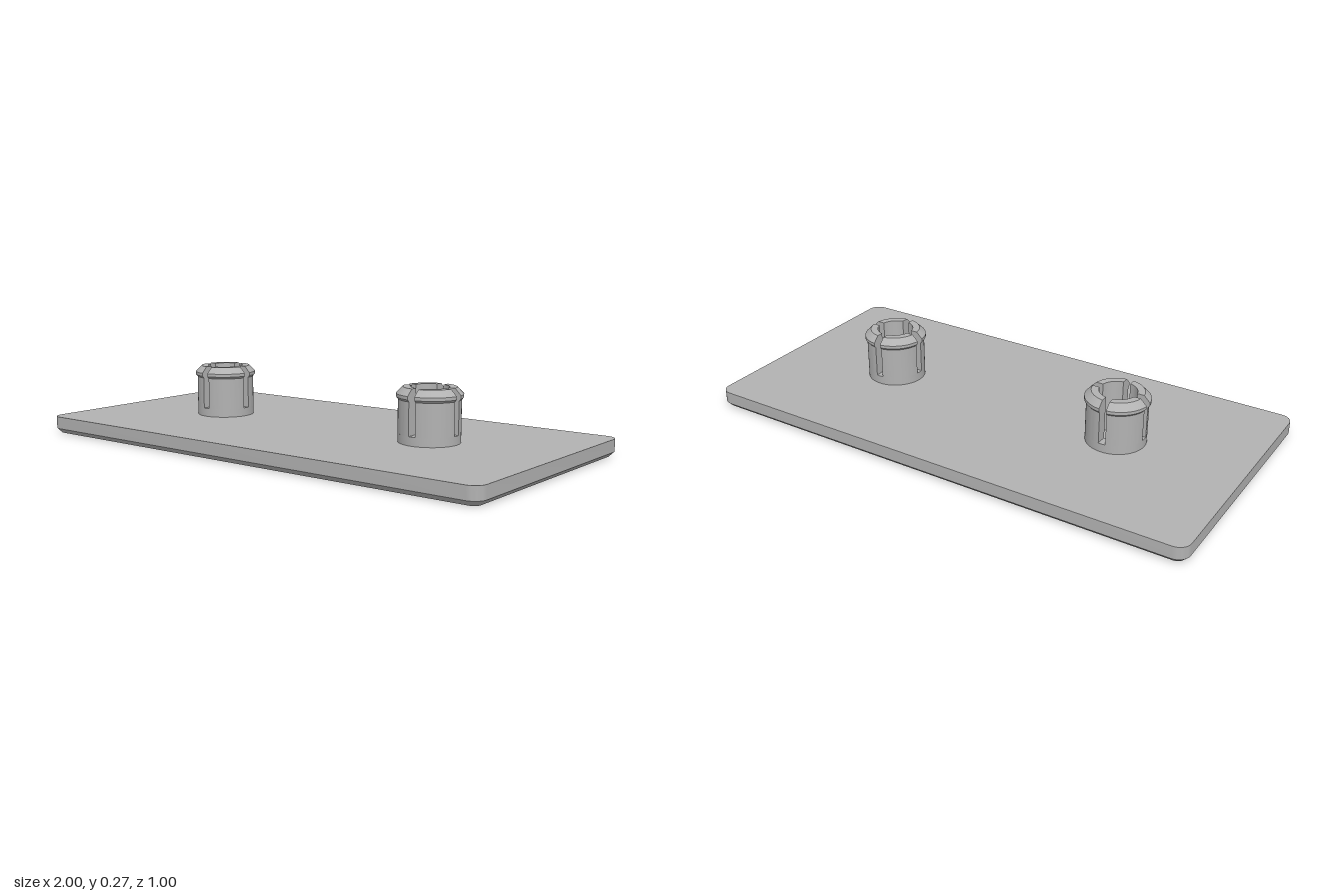
import * as THREE from 'three';
import { mergeGeometries, toCreasedNormals } from 'three/addons/utils/BufferGeometryUtils.js';

const PLATE_TOP = 0.067, SLOT_FLOOR = 0.1, SLOT_HALF = 0.0138;
const BORE = 0.07, PEG = 0.1137;

// Outline of a rounded rectangle, shrunk evenly by inset
function outline(inset, y) {
  const radius = 0.047, steps = 8, points = [];
  for (let corner = 0; corner < 4; corner++) {
    const sx = corner === 0 || corner === 3 ? 1 : -1;
    const sz = corner < 2 ? 1 : -1;
    for (let i = 0; i <= steps; i++) {
      const a = (corner + i / steps) * Math.PI / 2;
      points.push([
        sx * (1 - radius) + Math.cos(a) * (radius - inset), y,
        sz * (0.5 - radius) + Math.sin(a) * (radius - inset)]);
    }
  }
  return points;
}

// Flat plate with a chamfer around its lower edge
function plateGeometry() {
  const loops = [outline(0.019, 0), outline(0, 0.019), outline(0, PLATE_TOP)];
  const n = loops[0].length, pos = [];
  const tri = (a, b, c) => pos.push(...a, ...b, ...c);
  for (let i = 0; i < n; i++) {
    const j = (i + 1) % n;
    for (let k = 0; k < 2; k++) {
      const lo = loops[k], hi = loops[k + 1];
      tri(lo[i], hi[i], hi[j]);
      tri(lo[i], hi[j], lo[j]);
    }
    tri([0, 0, 0], loops[0][i], loops[0][j]);
    tri([0, PLATE_TOP, 0], loops[2][j], loops[2][i]);
  }
  const g = new THREE.BufferGeometry();
  g.setAttribute('position', new THREE.Float32BufferAttribute(pos, 3));
  return toCreasedNormals(g, 0.5);
}

// One springy quarter of the peg, its ends cut parallel to the slots
function prongGeometry() {
  const profile = [
    [PEG, SLOT_FLOOR], [PEG, 0.223], [0.121, 0.231], [0.121, 0.243],
    [0.097, 0.267], [BORE, 0.267], [BORE, SLOT_FLOOR],
  ].map(([r, y]) => new THREE.Vector2(r, y));

  const wall = new THREE.LatheGeometry(profile, 16, 0, Math.PI / 2);
  const p = wall.attributes.position;
  for (let i = 0; i < p.count; i++) {
    const r = Math.hypot(p.getX(i), p.getZ(i));
    const t = Math.atan2(p.getX(i), p.getZ(i)) / (Math.PI / 2);
    const cut = Math.asin(SLOT_HALF / r);
    const a = cut + t * (Math.PI / 2 - 2 * cut);
    p.setXYZ(i, r * Math.sin(a), p.getY(i), r * Math.cos(a));
  }

  const cap = (side) => new THREE.ShapeGeometry(new THREE.Shape(profile.map((v) =>
    new THREE.Vector2(side * Math.sqrt(v.x * v.x - SLOT_HALF * SLOT_HALF), v.y))));
  const capX = cap(1).rotateY(-Math.PI / 2).translate(SLOT_HALF, 0, 0);
  const capZ = cap(-1).rotateY(Math.PI).translate(0, 0, SLOT_HALF);
  return toCreasedNormals(mergeGeometries([wall, capX, capZ]), 0.5);
}

// Unslotted ring at the foot of the peg
function footGeometry() {
  const profile = [[PEG, PLATE_TOP], [PEG, SLOT_FLOOR], [BORE, SLOT_FLOOR], [BORE, PLATE_TOP]]
    .map(([r, y]) => new THREE.Vector2(r, y));
  return toCreasedNormals(new THREE.LatheGeometry(profile, 64), 0.5);
}

export function createModel() {
  const grey = new THREE.MeshStandardMaterial({ color: 0xb2b2b2 });
  grey.name = 'grey plastic';
  const model = new THREE.Group();
  model.name = 'plateWithSnapPegs';

  const add = (parent, name, geometry) => {
    const mesh = new THREE.Mesh(geometry, grey);
    mesh.name = name;
    parent.add(mesh);
    return mesh;
  };

  add(model, 'plate', plateGeometry());

  // Two split snap pegs
  const foot = footGeometry(), prong = prongGeometry();
  for (const side of [1, -1]) {
    const peg = new THREE.Group();
    peg.name = side > 0 ? 'leftPeg' : 'rightPeg';
    peg.position.x = side * 0.5;
    add(peg, 'pegFoot', foot);
    for (let i = 0; i < 4; i++) add(peg, 'pegProng', prong).rotation.y = i * Math.PI / 2;
    model.add(peg);
  }
  return model;
}
